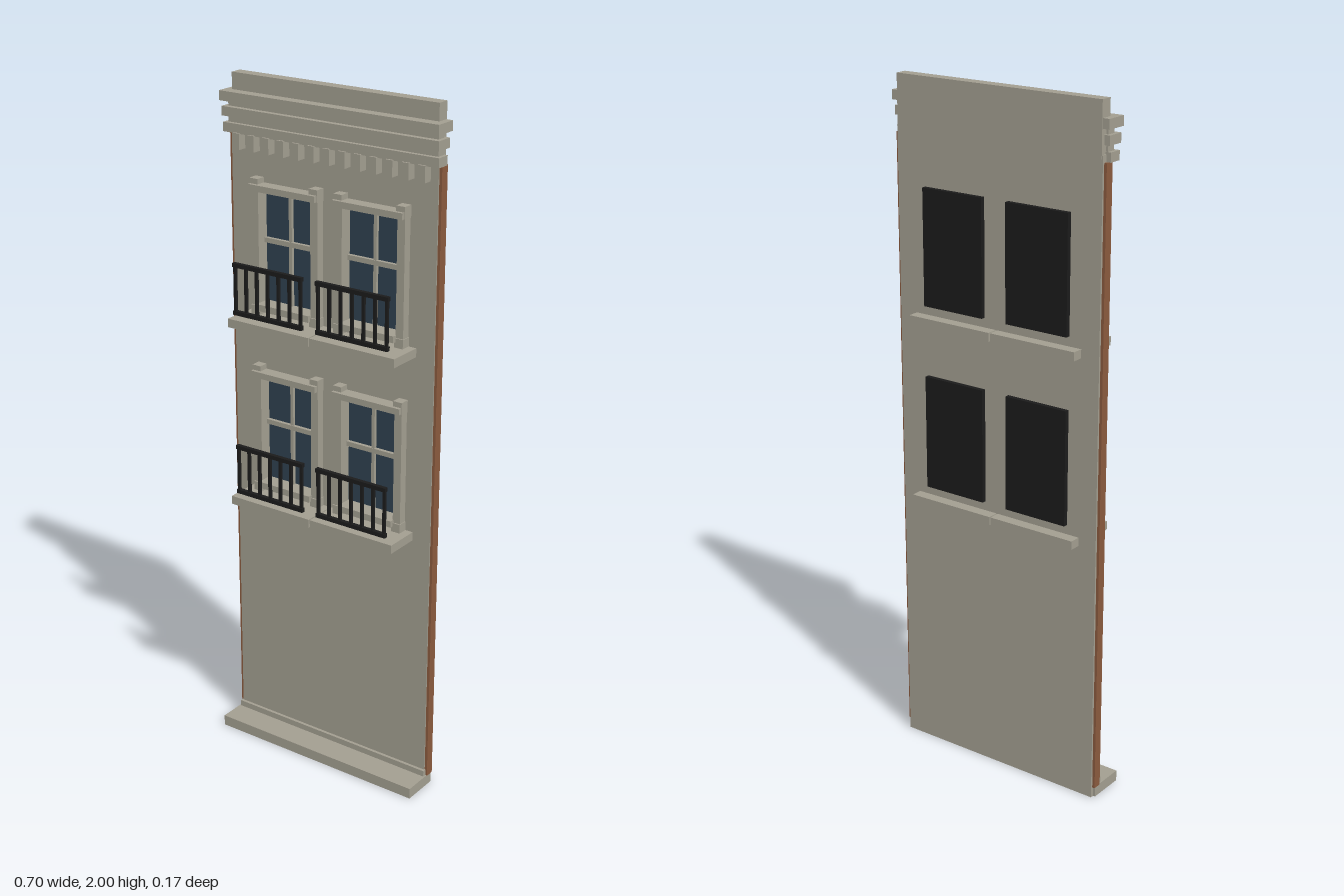
import * as THREE from 'three';

const mat = (name, color) => {
  const m = new THREE.MeshStandardMaterial({ color });
  m.name = name;
  return m;
};

export function createModel() {
  const stone = mat('stone', 0xa29e90);
  const brick = mat('brick', 0x8a5a3e);
  const glass = mat('glass', 0x2f4150);
  const iron = mat('iron', 0x1b1b1b);
  const root = new THREE.Group();
  root.name = 'townhouseFacade';

  // Box given by its min and max on every axis
  const box = (parent, name, m, x0, x1, y0, y1, z0, z1) => {
    const mesh = new THREE.Mesh(new THREE.BoxGeometry(x1 - x0, y1 - y0, z1 - z0), m);
    mesh.position.set((x0 + x1) / 2, (y0 + y1) / 2, (z0 + z1) / 2);
    mesh.name = name;
    parent.add(mesh);
    return mesh;
  };

  const columns = [-0.14, 0.14];
  const floors = [0.8, 1.34]; // top of each sill

  // Wall with window openings
  const shape = new THREE.Shape();
  shape.moveTo(-0.335, 0).lineTo(0.335, 0).lineTo(0.335, 1.86).lineTo(-0.335, 1.86).closePath();
  for (const x of columns) for (const y of floors) {
    const hole = new THREE.Path();
    hole.moveTo(x - 0.088, y + 0.03).lineTo(x - 0.088, y + 0.35)
      .lineTo(x + 0.088, y + 0.35).lineTo(x + 0.088, y + 0.03).closePath();
    shape.holes.push(hole);
  }
  const wall = new THREE.Mesh(
    new THREE.ExtrudeGeometry(shape, { depth: 0.035, bevelEnabled: false }), stone);
  wall.position.z = -0.056;
  wall.name = 'wall';
  root.add(wall);

  // Brick edges at both sides
  for (const s of [-1, 1]) {
    box(root, 'brickEdge', brick, Math.min(s * 0.334, s * 0.343), Math.max(s * 0.334, s * 0.343),
      0.03, 1.84, -0.05, -0.024);
  }

  // Plinth
  box(root, 'plinth', stone, -0.342, 0.342, 0, 0.032, -0.045, 0.065);
  box(root, 'plinthStep', stone, -0.338, 0.338, 0.032, 0.05, -0.04, -0.012);

  // Parapet and cornice
  box(root, 'parapet', stone, -0.332, 0.332, 1.85, 2, -0.0575, -0.022);
  const cornice = new THREE.Group();
  cornice.name = 'cornice';
  root.add(cornice);
  [[1.84, 1.866, 0.348, -0.04, 0.0], [1.884, 1.91, 0.349, -0.047, 0.004],
    [1.926, 1.953, 0.352, -0.055, 0.01]].forEach(([y0, y1, w, z0, z1]) =>
    box(cornice, 'corniceBand', stone, -w, w, y0, y1, z0, z1));
  box(cornice, 'corniceCore', stone, -0.338, 0.338, 1.845, 1.94, -0.038, -0.012);
  for (let i = 0; i < 13; i++) {
    const x = -0.3 + i * 0.05;
    box(cornice, 'dentil', stone, x - 0.011, x + 0.011, 1.797, 1.842, -0.022, 0.006);
  }

  // One window with casing, sill, shutter board and balcony rail; origin at the sill top
  const addWindow = (cx, y) => {
    const g = new THREE.Group();
    g.name = 'window';
    g.position.set(cx, y, 0);
    root.add(g);
    box(g, 'sill', stone, -0.138, 0.138, -0.025, 0, -0.089, 0.084);
    box(g, 'glassPane', glass, -0.09, 0.09, 0.025, 0.355, -0.04, -0.033);
    box(g, 'backBoard', iron, -0.1, 0.1, 0.028, 0.362, -0.07, -0.054);

    // Casing
    for (const s of [-1, 1]) {
      const jamb = box(g, 'jamb', stone, -0.012, 0.012, 0, 0.36, -0.022, 0.004);
      jamb.position.x = s * 0.1;
      const cap = box(g, 'capBlock', stone, -0.014, 0.014, 0.352, 0.387, -0.022, 0.008);
      cap.position.x = s * 0.1;
      const foot = box(g, 'footBlock', stone, -0.014, 0.014, 0, 0.026, -0.022, 0.008);
      foot.position.x = s * 0.1;
    }
    box(g, 'lintel', stone, -0.09, 0.09, 0.35, 0.372, -0.022, 0.004);
    box(g, 'hood', stone, -0.112, 0.112, 0.354, 0.372, 0.002, 0.018);
    box(g, 'bottomRail', stone, -0.09, 0.09, 0.015, 0.034, -0.035, 0.018);

    // Glazing bars
    box(g, 'mullion', stone, -0.005, 0.005, 0.03, 0.35, -0.035, -0.024);
    box(g, 'meetingRail', stone, -0.089, 0.089, 0.203, 0.217, -0.035, -0.022);

    // Balcony rail
    const rail = new THREE.Group();
    rail.name = 'balconyRail';
    g.add(rail);
    box(rail, 'topRail', iron, -0.117, 0.117, 0.153, 0.165, 0.074, 0.086);
    box(rail, 'lowRail', iron, -0.117, 0.117, 0.016, 0.028, 0.074, 0.086);
    for (let i = 0; i < 7; i++) {
      const x = -0.111 + i * 0.037;
      box(rail, 'baluster', iron, x - 0.004, x + 0.004, 0.022, 0.158, 0.076, 0.084);
    }
  };
  for (const y of floors) for (const x of columns) addWindow(x, y);

  return root;
}
